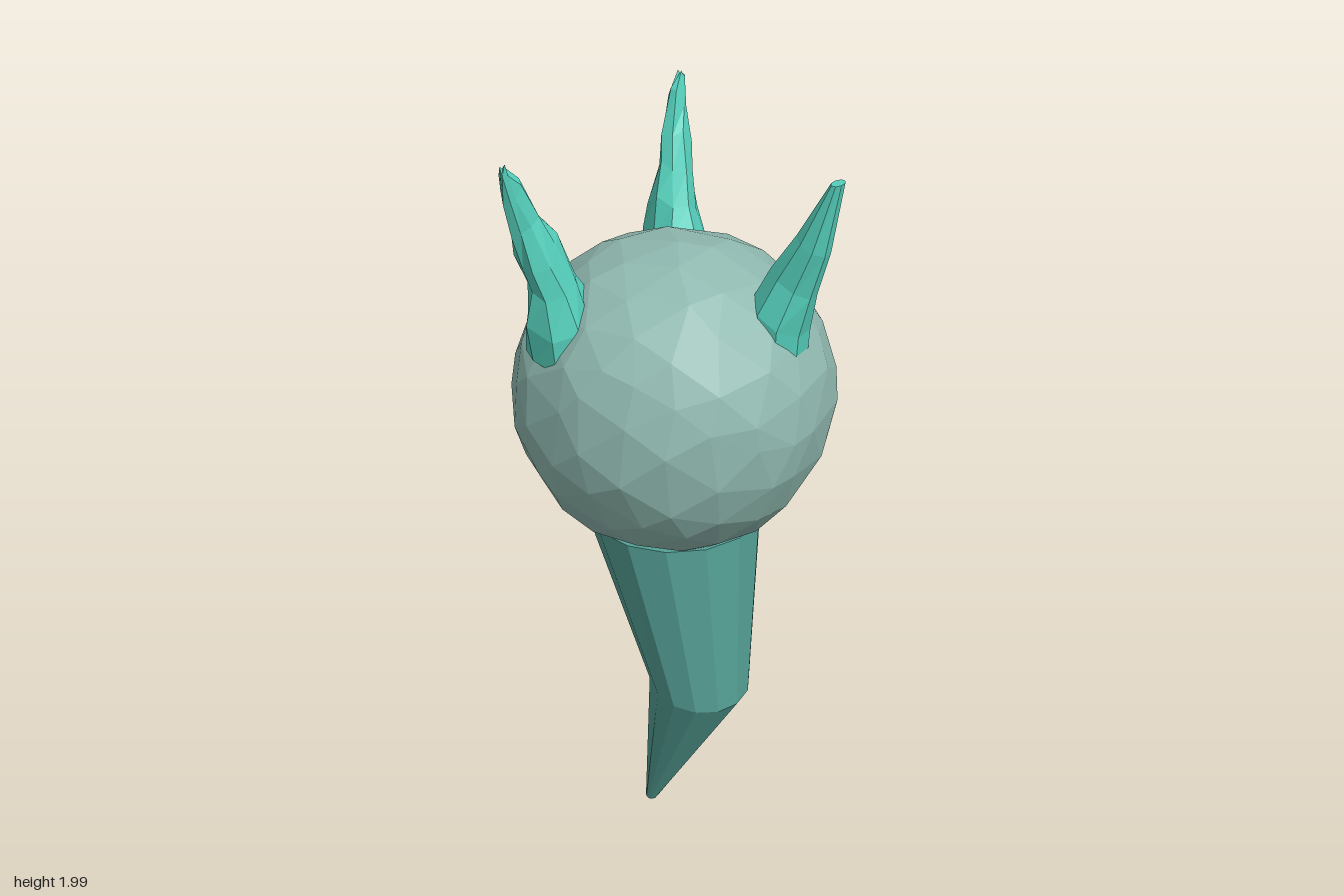
import * as THREE from 'three';
import { mergeVertices } from 'three/addons/utils/BufferGeometryUtils.js';

// Repeatable noise in -1..1
function noise(a, b, c) {
  const s = Math.sin(a * 127.1 + b * 311.7 + c * 74.7) * 43758.5453;
  return (s - Math.floor(s)) * 2 - 1;
}

// Closed loft through elliptical rings [x, y, z, rx, rz], listed bottom to top.
// tilt raises each ring by (tx * cos + tz * sin); rough displaces ring points.
function loft(rings, sides, { tilts = [], rough = 0 } = {}) {
  const pos = [], index = [];
  rings.forEach(([x, y, z, rx, rz], r) => {
    const [tx, tz] = tilts[r] || [0, 0];
    for (let i = 0; i < sides; i++) {
      const a = ((i + 0.5) / sides) * Math.PI * 2;
      const c = Math.cos(a), s = Math.sin(a);
      const k = 1 + rough * noise(i + 1, r + 2, x * 5 + z * 3);
      const dy = rough * 0.08 * noise(r + 5, i + 3, z * 7);
      pos.push(x + c * rx * k, y + tx * c + tz * s + dy, z + s * rz * k);
    }
  });
  for (let r = 0; r < rings.length - 1; r++) {
    for (let i = 0; i < sides; i++) {
      const p0 = r * sides + i, p1 = r * sides + ((i + 1) % sides);
      index.push(p0, p0 + sides, p1, p1, p0 + sides, p1 + sides);
    }
  }
  // End caps
  const bottom = pos.length / 3, top = bottom + 1, last = (rings.length - 1) * sides;
  const end = rings[rings.length - 1];
  pos.push(rings[0][0], rings[0][1], rings[0][2], end[0], end[1], end[2]);
  for (let i = 0; i < sides; i++) {
    const j = (i + 1) % sides;
    index.push(i, j, bottom, last + i, top, last + j);
  }
  const geo = new THREE.BufferGeometry();
  geo.setAttribute('position', new THREE.Float32BufferAttribute(pos, 3));
  geo.setIndex(index);
  geo.computeVertexNormals();
  return geo;
}

// Faceted ball with irregular triangles
function ballGeometry(radius) {
  let geo = new THREE.IcosahedronGeometry(1, 3);
  geo.deleteAttribute('uv');
  geo.deleteAttribute('normal');
  geo = mergeVertices(geo, 1e-3);
  const p = geo.attributes.position, v = new THREE.Vector3();
  for (let i = 0; i < p.count; i++) {
    v.fromBufferAttribute(p, i);
    v.x += 0.07 * noise(i, 1, 2);
    v.y += 0.07 * noise(i, 3, 4);
    v.z += 0.07 * noise(i, 5, 6);
    v.setLength(radius * (1 + 0.008 * noise(i, 7, 8)));
    p.setXYZ(i, v.x, v.y, v.z);
  }
  geo.computeVertexNormals();
  return geo;
}

export function createModel() {
  const group = new THREE.Group();
  const material = (name, color) => {
    const m = new THREE.MeshStandardMaterial({ color, flatShading: true });
    m.name = name;
    return m;
  };
  const paleTeal = material('pale teal', 0x8fb8af);
  const deepTeal = material('deep teal', 0x55a096);
  const brightTeal = material('bright teal', 0x55cfbb);
  const add = (name, geo, mat) => {
    const mesh = new THREE.Mesh(geo, mat);
    mesh.name = name;
    group.add(mesh);
    return mesh;
  };

  // Ball
  add('ball', ballGeometry(0.402), paleTeal).position.set(-0.02, 1.335, 0);

  // Bent stem, tapering to a point
  add('stem', loft([
    [-0.097, 0.015, -0.002, 0.015, 0.022],
    [0.082, 0.525, 0.04, 0.134, 0.132],
    [-0.02, 1.0, 0, 0.226, 0.224],
  ], 14, { tilts: [[-0.006, 0], [-0.02, -0.015], [0, 0]] }), deepTeal);

  // Smooth horn on the left side
  add('leftHorn', loft([
    [0.265, 1.52, -0.005, 0.065, 0.075],
    [0.27, 1.61, -0.005, 0.066, 0.078],
    [0.302, 1.7, 0, 0.056, 0.048],
    [0.348, 1.8, 0, 0.04, 0.04],
    [0.401, 1.955, -0.002, 0.014, 0.025],
  ], 8, { tilts: [[-0.04, 0], [-0.04, 0], [-0.03, 0], [-0.02, 0], [0, 0]] }), brightTeal);

  // Gnarled horns at the front and back of the right side
  for (const side of [1, -1]) {
    const rings = [
      [-0.175, 1.52, 0.255, 0.08, 0.07],
      [-0.175, 1.61, 0.262, 0.078, 0.072],
      [-0.18, 1.69, 0.278, 0.064, 0.064],
      [-0.198, 1.77, 0.304, 0.048, 0.048],
      [-0.214, 1.85, 0.328, 0.036, 0.036],
      [-0.225, 1.93, 0.357, 0.024, 0.02],
      [-0.226, 1.99, 0.38, 0.01, 0.008],
    ].map(([x, y, z, rx, rz]) => [x, y, z * side, rx, rz]);
    const tilts = rings.map((_, i) => [0, i < 6 ? -0.025 * side : 0]);
    add(side > 0 ? 'frontHorn' : 'backHorn', loft(rings, 8, { tilts, rough: 0.2 }), brightTeal);
  }

  return group;
}
